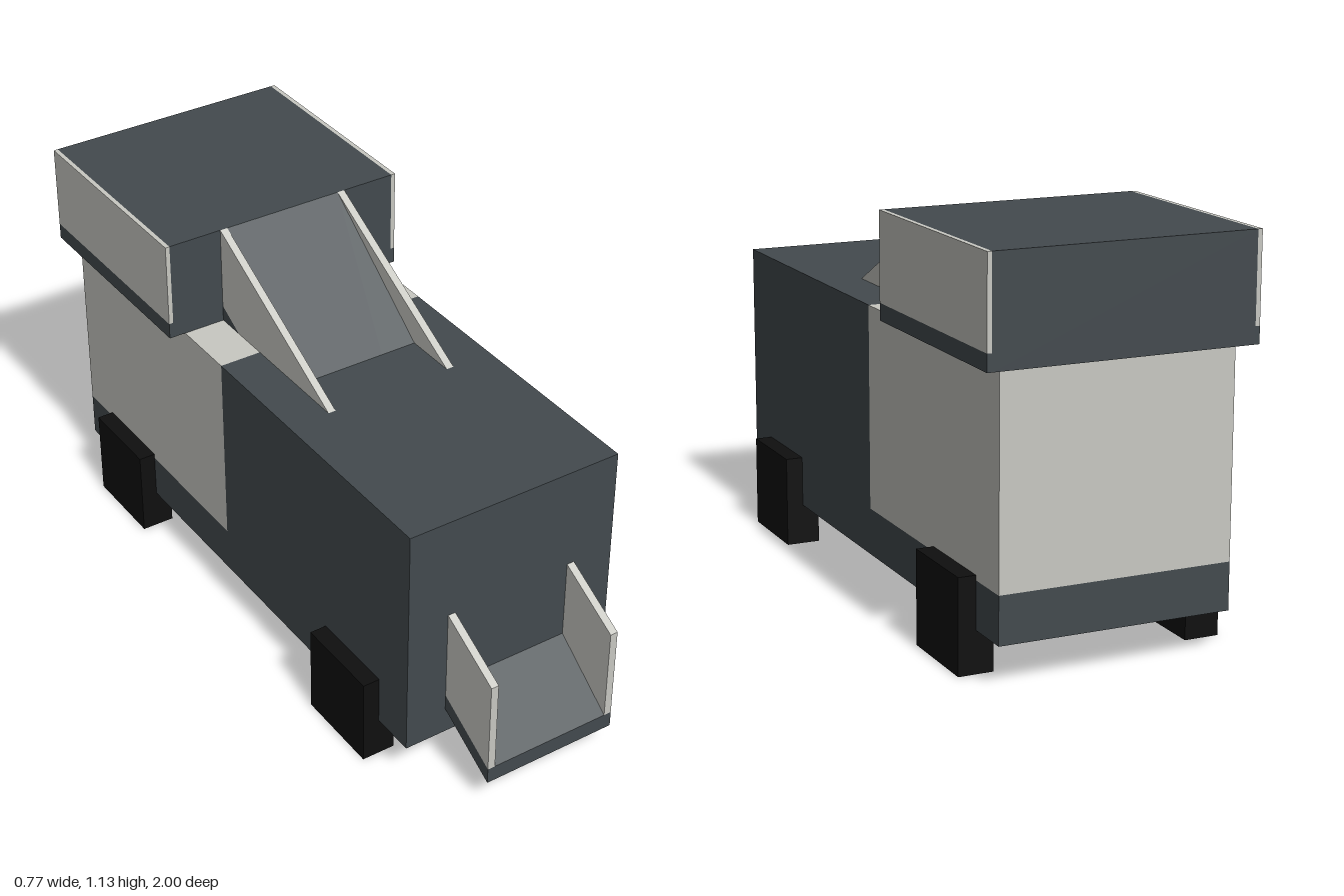
import * as THREE from 'three';

const dark = new THREE.MeshStandardMaterial({ color: 0x434a4e });
dark.name = 'slateGrey';
const light = new THREE.MeshStandardMaterial({ color: 0xc8c8c2 });
light.name = 'paleGrey';
const black = new THREE.MeshStandardMaterial({ color: 0x0f0f0f });
black.name = 'tyreBlack';

export function createModel() {
  const model = new THREE.Group();
  model.name = 'conveyorTruck';

  const add = (name, geometry, material) => {
    const mesh = new THREE.Mesh(geometry, material);
    mesh.name = name;
    model.add(mesh);
  };
  // Box given by its limits on each axis
  const box = (name, material, [x0, x1], [y0, y1], [z0, z1]) => {
    const g = new THREE.BoxGeometry(x1 - x0, y1 - y0, z1 - z0);
    g.translate((x0 + x1) / 2, (y0 + y1) / 2, (z0 + z1) / 2);
    add(name, g, material);
  };
  // Side profile of (z, y) points, extruded across x
  const profile = (name, material, points, x0, x1) => {
    const shape = new THREE.Shape(points.map(([z, y]) => new THREE.Vector2(z, y)));
    const g = new THREE.ExtrudeGeometry(shape, { depth: x1 - x0, bevelEnabled: false });
    g.rotateY(-Math.PI / 2);
    g.translate(x1, 0, 0);
    add(name, g, material);
  };

  // Body: dark front, dark rear sill and pale rear compartment
  const w = 0.333;
  box('frontBody', dark, [-w, w], [0.119, 0.835], [-0.133, 0.8]);
  box('rearSill', dark, [-w, w], [0.119, 0.253], [-0.967, -0.133]);
  box('rearCompartment', light, [-w, w], [0.253, 0.835], [-0.967, -0.133]);

  // Raised rear housing with its lower lip
  box('rearHousing', dark, [-0.37, 0.37], [0.835, 1.133], [-1, -0.333]);

  // Sloping conveyor running through the body
  profile('conveyorBase', dark,
    [[1, 0.087], [1, 0.135], [-0.333, 0.883], [-0.333, 0.835]], -0.207, 0.207);
  profile('conveyorBelt', dark,
    [[1, 0.135], [-0.333, 1.133], [-0.333, 0.883]], -0.184, 0.184);

  for (const side of [-1, 1]) {
    const label = side > 0 ? 'left' : 'right';
    const span = (a, b) => (side > 0 ? [a, b] : [-b, -a]);

    box(label + 'HousingPlate', light, span(0.37, 0.383), [0.883, 1.133], [-1, -0.333]);
    box(label + 'HousingLip', dark, span(0.37, 0.383), [0.835, 0.883], [-1, -0.333]);
    profile(label + 'ConveyorRail', light,
      [[1, 0.135], [1, 0.42], [-0.333, 1.133], [-0.333, 0.883]], ...span(0.184, 0.207));

    // Square wheel blocks
    box(label + 'FrontWheel', black, span(0.283, 0.383), [0, 0.267], [0.4, 0.667]);
    box(label + 'RearWheel', black, span(0.283, 0.383), [0, 0.267], [-0.833, -0.567]);
  }
  return model;
}
